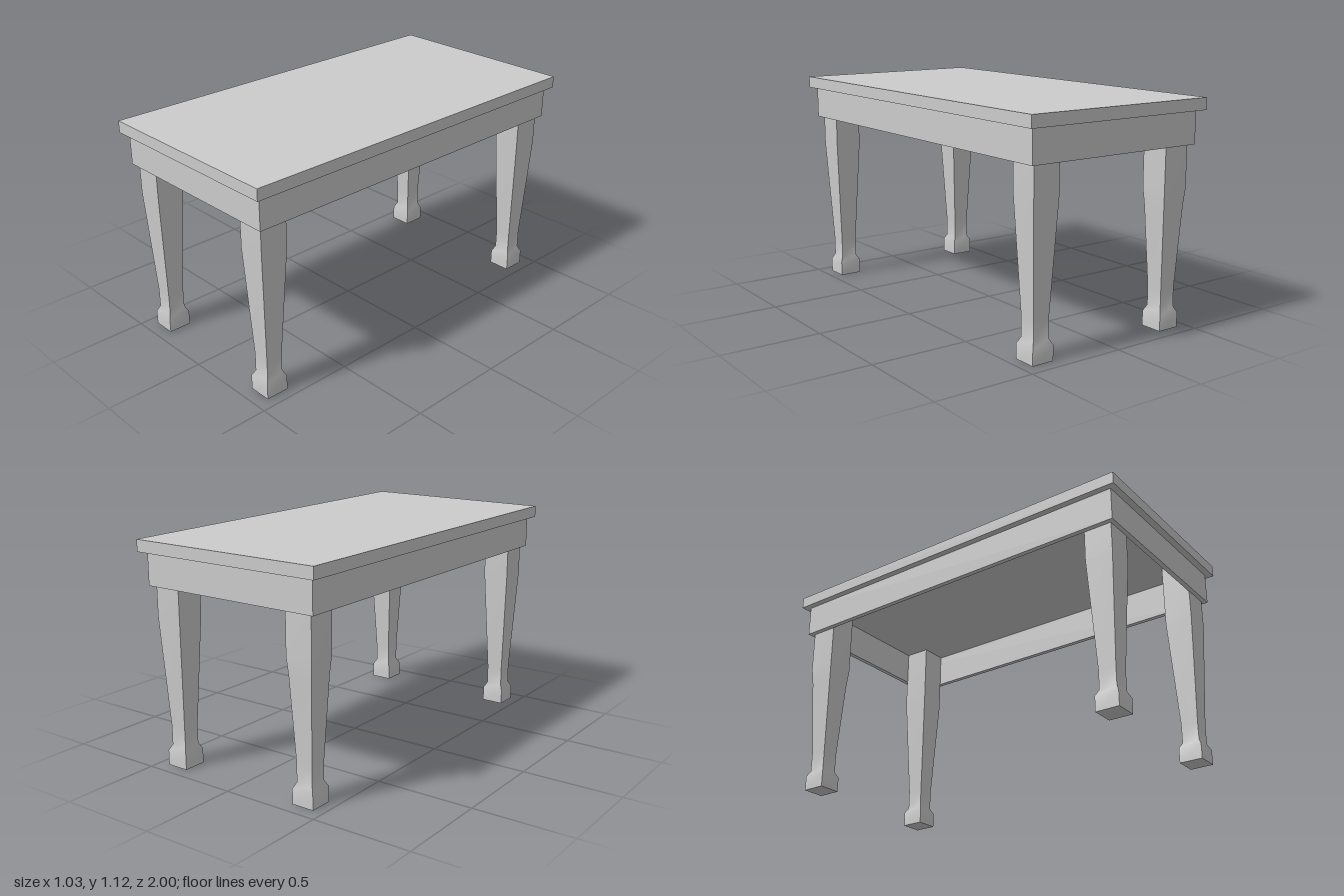
import * as THREE from 'three';

const material = new THREE.MeshStandardMaterial({ color: 0xcccccc });

function addMesh(parent, name, geometry) {
  const mesh = new THREE.Mesh(geometry, material);
  mesh.name = name;
  parent.add(mesh);
  return mesh;
}

// Skin over rectangular loops [height, halfX, halfZ], with flat faces.
function loftRectangles(loops) {
  const corners = [[-1, 1], [1, 1], [1, -1], [-1, -1]];
  const points = [];
  const put = ([y, halfX, halfZ], c) => points.push(corners[c][0] * halfX, y, corners[c][1] * halfZ);
  for (let i = 0; i < loops.length - 1; i++) {
    const upper = loops[i], lower = loops[i + 1];
    for (let a = 0; a < 4; a++) {
      const b = (a + 1) % 4;
      put(upper, a); put(lower, a); put(lower, b);
      put(upper, a); put(lower, b); put(upper, b);
    }
  }
  const geometry = new THREE.BufferGeometry();
  geometry.setAttribute('position', new THREE.Float32BufferAttribute(points, 3));
  geometry.computeVertexNormals();
  return geometry;
}

// Square leg: a box whose rows follow [height, half-width] pairs from top to bottom.
function legGeometry(profile) {
  const rows = profile.length - 1;
  const geometry = new THREE.BoxGeometry(2, 1, 2, 1, rows, 1);
  const p = geometry.attributes.position;
  for (let i = 0; i < p.count; i++) {
    const [y, half] = profile[Math.round((0.5 - p.getY(i)) * rows)];
    p.setXYZ(i, p.getX(i) * half, y, p.getZ(i) * half * 1.02);
  }
  geometry.computeVertexNormals(); // smooth along each side, sharp at the corners
  return geometry;
}

export function createModel() {
  const table = new THREE.Group();
  table.name = 'table';
  const ceiling = 1.077;
  const inner = [0.459, 0.942];

  // Table top, hollowed a little between the apron boards
  addMesh(table, 'tableTop', loftRectangles([
    [1.119, 0, 0], [1.119, 0.516, 1], [1.06, 0.516, 1],
    [1.06, ...inner], [ceiling, ...inner], [ceiling, 0, 0],
  ]));

  // Apron: a thin frame, open underneath
  addMesh(table, 'apron', loftRectangles([
    [1.06, 0.484, 0.967], [0.898, 0.484, 0.967], [0.898, ...inner], [1.06, ...inner],
  ]));

  // Tapered legs with block feet; one back leg starts its taper lower
  const foot = [[0.2, 0.043], [0.105, 0.043], [0.075, 0.058], [0, 0.058]];
  const regular = legGeometry([[ceiling, 0.07], [0.75, 0.07], ...foot]);
  const fuller = legGeometry([[ceiling, 0.07], [0.69, 0.07], [0.6, 0.0627], ...foot]);
  for (const [sideX, x] of [['Left', 1], ['Right', -1]]) {
    for (const [sideZ, z] of [['front', 1], ['back', -1]]) {
      const geometry = x < 0 && z < 0 ? fuller : regular;
      addMesh(table, `${sideZ}${sideX}Leg`, geometry).position.set(x * 0.3875, 0, z * 0.8735);
    }
  }
  return table;
}
